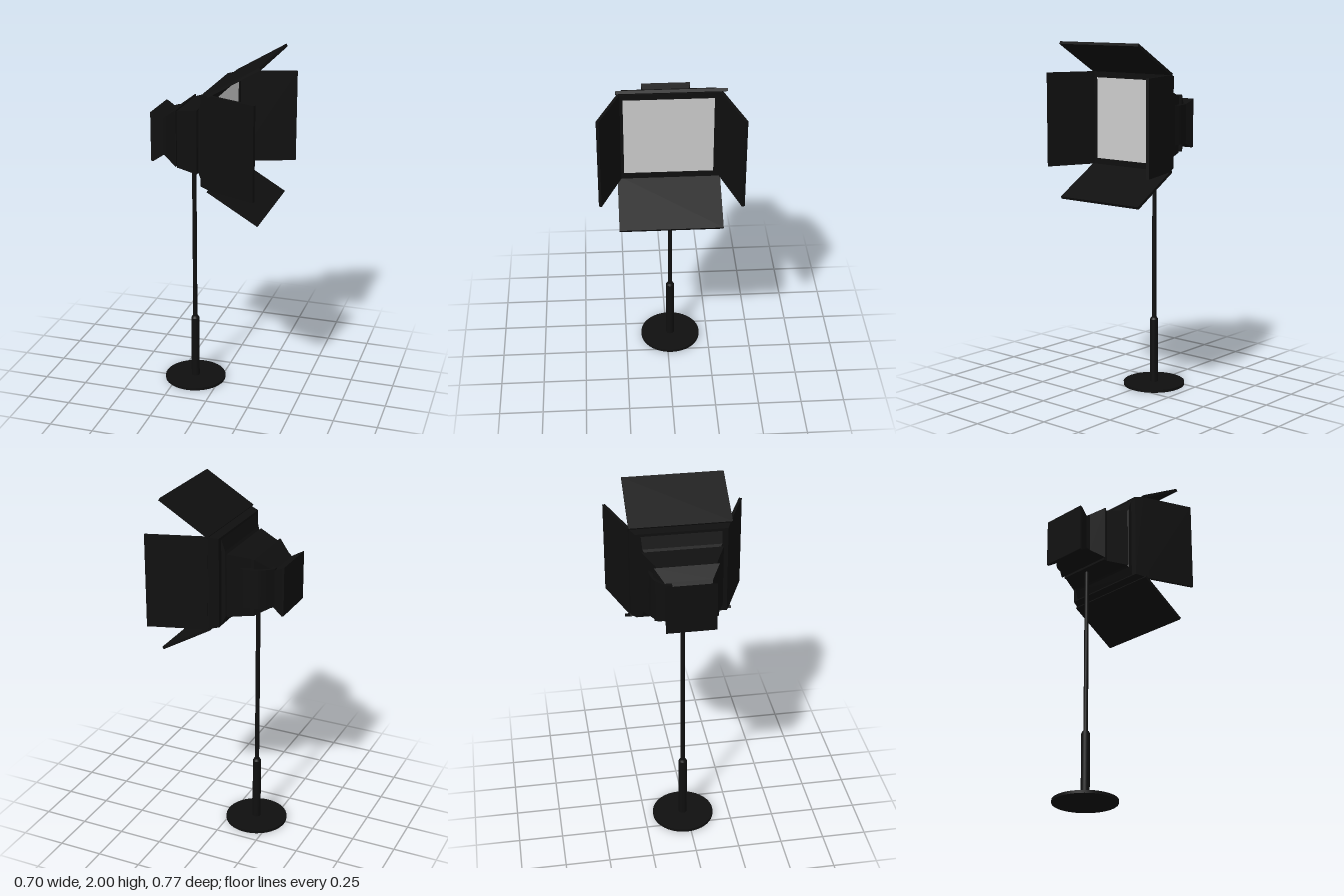
import * as THREE from 'three';

const black = new THREE.MeshStandardMaterial({ color: 0x0f0f0f });
const blackFlat = new THREE.MeshStandardMaterial({ color: 0x0f0f0f, flatShading: true });
const grey = new THREE.MeshStandardMaterial({ color: 0xcccccc });

// Rectangular loft along x; each section is [x, yMin, yMax, zMin, zMax]
function loft(sections) {
  const rings = sections.map(([x, y0, y1, z0, z1]) => [[x, y0, z0], [x, y0, z1], [x, y1, z1], [x, y1, z0]]);
  const pos = [];
  const tri = (...pts) => pts.forEach((p) => pos.push(...p));
  for (let i = 0; i < rings.length - 1; i++) {
    for (let k = 0; k < 4; k++) {
      const n = (k + 1) % 4;
      const a = rings[i][k], b = rings[i][n], c = rings[i + 1][n], d = rings[i + 1][k];
      tri(a, d, c);
      tri(a, c, b);
    }
  }
  const s = rings[0], e = rings[rings.length - 1];
  tri(s[0], s[1], s[2]);
  tri(s[0], s[2], s[3]);
  tri(e[0], e[2], e[1]);
  tri(e[0], e[3], e[2]);
  const geo = new THREE.BufferGeometry();
  geo.setAttribute('position', new THREE.Float32BufferAttribute(pos, 3));
  geo.computeVertexNormals();
  return geo;
}

export function createModel() {
  const model = new THREE.Group();
  const add = (name, geo, mat, x = 0, y = 0, z = 0) => {
    const mesh = new THREE.Mesh(geo, mat);
    mesh.name = name;
    mesh.position.set(x, y, z);
    model.add(mesh);
    return mesh;
  };

  // Stand: round foot, thick sleeve with a chamfered top, thin pole
  const px = -0.15, pz = -0.022;
  add('base', new THREE.CylinderGeometry(0.178, 0.178, 0.016, 48), black, px, 0.008, pz);
  add('sleeve', new THREE.CylinderGeometry(0.024, 0.024, 0.376, 24), black, px, 0.202, pz);
  add('sleeveTop', new THREE.CylinderGeometry(0.017, 0.024, 0.012, 24), black, px, 0.396, pz);
  add('pole', new THREE.CylinderGeometry(0.0125, 0.0125, 1.02, 20), black, px, 0.9, pz);

  // Lamp housing: stepped, tapered boxes
  add('rearCap', loft([
    [-0.35, 1.39, 1.667, -0.143, 0.13],
    [-0.337, 1.388, 1.66, -0.143, 0.13],
    [-0.28, 1.425, 1.63, -0.125, 0.111],
  ]), blackFlat);
  add('rearHousing', loft([
    [-0.29, 1.43, 1.63, -0.127, 0.112],
    [-0.265, 1.417, 1.648, -0.138, 0.12],
    [-0.195, 1.38, 1.7, -0.183, 0.168],
    [-0.19, 1.385, 1.7, -0.183, 0.17],
  ]), blackFlat);
  add('midHousing', loft([
    [-0.19, 1.372, 1.692, -0.165, 0.155],
    [-0.17, 1.37, 1.697, -0.17, 0.16],
    [-0.057, 1.365, 1.724, -0.228, 0.215],
  ]), blackFlat);
  add('neck', loft([
    [-0.057, 1.375, 1.71, -0.208, 0.195],
    [-0.045, 1.36, 1.735, -0.222, 0.209],
    [-0.022, 1.31, 1.81, -0.228, 0.214],
  ]), blackFlat);

  // Front hood with a shallow recess for the lens
  add('hood', loft([
    [-0.025, 1.31, 1.815, -0.258, 0.245],
    [0.025, 1.302, 1.824, -0.283, 0.267],
    [0.046, 1.3, 1.825, -0.288, 0.276],
    [0.046, 1.333, 1.792, -0.247, 0.241],
    [0.034, 1.333, 1.792, -0.247, 0.241],
  ]), blackFlat);
  add('lens', new THREE.BoxGeometry(0.008, 0.459, 0.488), grey, 0.038, 1.5625, -0.003);

  // Curved cover on one side of the housing
  const profile = new THREE.Shape();
  profile.moveTo(-0.29, 0.1);
  profile.lineTo(-0.29, 0.127);
  profile.splineThru([[-0.265, 0.155], [-0.22, 0.187], [-0.15, 0.203], [-0.11, 0.199]]
    .map(([x, y]) => new THREE.Vector2(x, y)));
  profile.lineTo(-0.11, 0.1);
  const cover = new THREE.ExtrudeGeometry(profile, { depth: 0.22, bevelEnabled: false, curveSegments: 4 });
  cover.rotateX(-Math.PI / 2);
  add('sideCover', cover, black, 0, 1.425, 0);

  // Four hinged flaps; top and bottom tilt in xy, sides tilt in xz
  const t = 0.016;
  for (const s of [1, -1]) {
    const dx = 0.285, dy = 0.168;
    const flap = add(s > 0 ? 'topFlap' : 'bottomFlap',
      new THREE.BoxGeometry(Math.hypot(dx, dy), t, 0.563), black,
      0.022 + dx / 2, 1.5625 + s * (0.262 + dy / 2), -0.004);
    flap.rotation.z = s * Math.atan2(dy, dx);
  }
  const sides = [['leftFlap', 0.03, 0.259, 0.307, 0.376], ['rightFlap', 0.03, -0.281, 0.347, -0.382]];
  for (const [name, x0, z0, x1, z1] of sides) {
    const flap = add(name, new THREE.BoxGeometry(Math.hypot(x1 - x0, z1 - z0), 0.525, t), black,
      (x0 + x1) / 2, 1.5625, (z0 + z1) / 2);
    flap.rotation.y = -Math.atan2(z1 - z0, x1 - x0);
  }
  return model;
}
